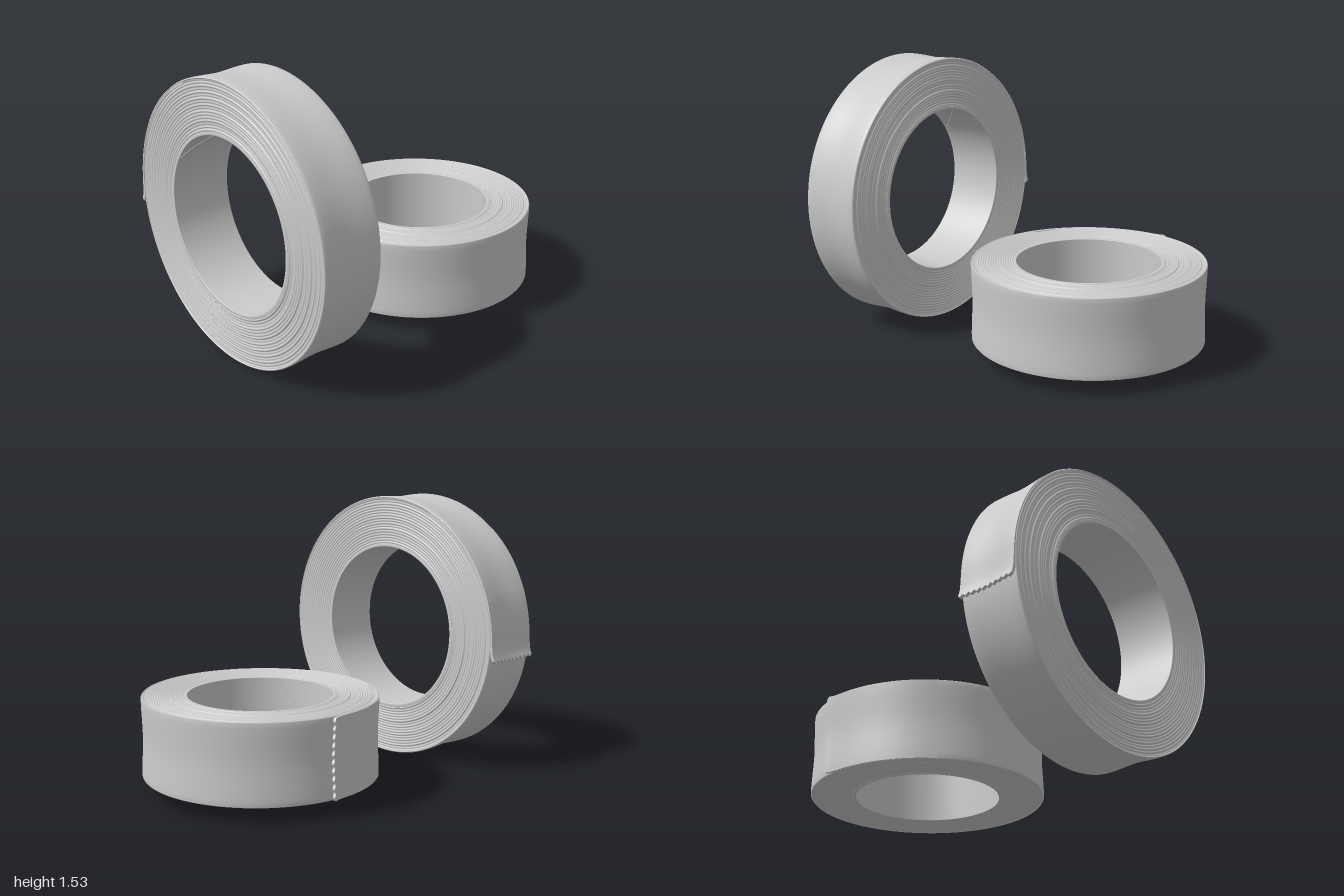
import * as THREE from 'three';

const grey = new THREE.MeshStandardMaterial({ color: 0xcccccc });
const R_IN = 0.47, R_CORE = 0.492, R_OUT = 0.765;

function part(name, geometry) {
  const mesh = new THREE.Mesh(geometry, grey);
  mesh.name = name;
  return mesh;
}

// Repeatable value in 0..1 for each layer
const hash = (i) => {
  const s = Math.sin(i * 12.9898 + 4.1) * 43758.5453;
  return s - Math.floor(s);
};

// Shallow sag of the outer wrap; t runs -1..1 across the width
const sag = (t) => 0.008 * Math.cos(t * Math.PI / 2) ** 2;

// Revolves a (radius, height) profile about the z axis
function revolve(points) {
  const g = new THREE.LatheGeometry(points.map(([r, h]) => new THREE.Vector2(r, h)), 128);
  return g.rotateX(Math.PI / 2);
}

// Wound tape: each layer is a small ridge on both side faces
function windings(width) {
  const layers = 17, steps = 4, half = width / 2;
  const a = R_CORE - 0.004, b = R_OUT - 0.005;
  const face = (seed) => {
    const pts = [];
    for (let i = 0; i < layers; i++) {
      const sink = 0.002 + 0.004 * hash(i + seed);
      for (let s = 0; s < steps; s++) {
        const r = a + (b - a) * (i + s / steps) / layers;
        pts.push([r, half - sink - 0.005 * (1 - Math.sin(Math.PI * s / steps))]);
      }
    }
    pts.push([b - 0.002, half - 0.001], [b, half]);
    return pts;
  };
  const outer = [];
  for (let i = 0; i <= 16; i++) {
    const t = -1 + i / 8;
    outer.push([R_OUT - sag(t), t * (half - 0.006)]);
  }
  return revolve([
    ...face(1).map(([r, h]) => [r, -h]),
    ...outer,
    ...face(50).reverse(),
  ]);
}

// Cardboard core ring with slightly eased edges
function core(width) {
  const h = width / 2 - 0.003, e = 0.004;
  return revolve([
    [R_IN, 0], [R_IN, -h + e], [R_IN + 0.001, -h + 0.001], [R_IN + e, -h],
    [R_CORE - e, -h], [R_CORE, -h + e],
    [R_CORE, h - e], [R_CORE - e, h],
    [R_IN + e, h], [R_IN + 0.001, h - 0.001], [R_IN, h - e], [R_IN, 0],
  ]);
}

// Diagonal joint running across the inside of the core
function seam(width, startDegrees) {
  const pts = [];
  for (let i = 0; i <= 12; i++) {
    const f = i / 12;
    const a = THREE.MathUtils.degToRad(startDegrees + 47 * f);
    pts.push(new THREE.Vector3(R_IN * Math.cos(a), R_IN * Math.sin(a), (f - 0.5) * (width - 0.02)));
  }
  return new THREE.TubeGeometry(new THREE.CatmullRomCurve3(pts), 32, 0.003, 6);
}

// Loose end: a strip bent along the roll, lifting off and cut in a zigzag
function looseEnd(width) {
  const arc = [[115, 0.753], [130, 0.757], [145, 0.76], [160, 0.761], [172, 0.763]];
  const pts = arc.map(([deg, r]) => {
    const a = THREE.MathUtils.degToRad(deg);
    return new THREE.Vector3(r * Math.cos(a), r * Math.sin(a), 0);
  });
  pts.push(new THREE.Vector3(-0.768, -0.03, 0), new THREE.Vector3(-0.773, -0.07, 0),
    new THREE.Vector3(-0.79, -0.117, 0));
  const path = new THREE.CatmullRomCurve3(pts);
  const teeth = 10;
  const g = new THREE.BoxGeometry(1, 0.016, width - 0.006, 48, 1, teeth * 4);
  const pos = g.attributes.position;
  for (let i = 0; i < pos.count; i++) {
    const z = pos.getZ(i), t = z / (width / 2);
    let u = pos.getX(i) + 0.5;
    const phase = ((t + 1) / 2 * teeth) % 1;
    const nearEnd = THREE.MathUtils.clamp((u - 0.85) / 0.15, 0, 1);
    u -= 0.022 * Math.abs(phase * 2 - 1) * nearEnd;
    const p = path.getPointAt(u), d = path.getTangentAt(u);
    const inward = pos.getY(i) + sag(t);
    pos.setXYZ(i, p.x - d.y * inward, p.y + d.x * inward, z);
  }
  g.computeVertexNormals();
  return g;
}

function tapeRoll(name, width, seamStart) {
  const roll = new THREE.Group();
  roll.name = name;
  roll.add(
    part('tapeWindings', windings(width)),
    part('core', core(width)),
    part('coreSeam', seam(width, seamStart)),
    part('looseTapeEnd', looseEnd(width)),
  );
  return roll;
}

export function createModel() {
  const model = new THREE.Group();
  model.name = 'tapeRolls';

  // Roll standing on its rim at the front
  const standing = tapeRoll('standingRoll', 0.35, 100);
  standing.position.set(0.015, 0.77, 0.825);

  // Smaller, wider roll lying flat behind it
  const s = 0.836;
  const lying = tapeRoll('lyingRoll', 0.436 / s, 56);
  lying.scale.setScalar(s);
  lying.rotation.x = Math.PI / 2;
  lying.position.set(0.01, 0.31, -0.36);

  model.add(standing, lying);
  return model;
}
